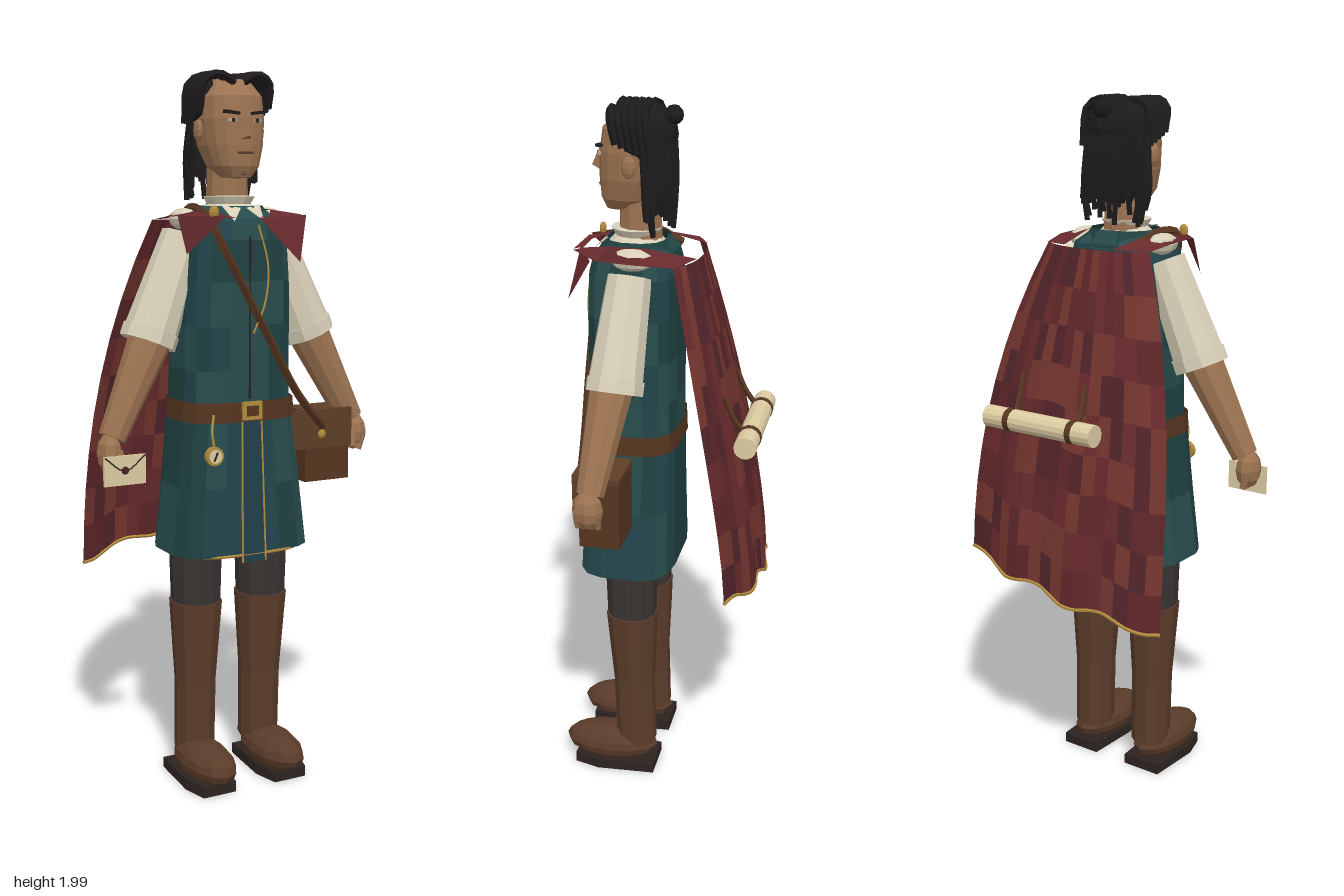
import * as THREE from 'three';

const V = (x, y, z) => new THREE.Vector3(x, y, z);
const SKIN = 0x9c7351, HAIR = 0x1c1a1a, CREAM = 0xd8cfb8, PAPER = 0xddcca2, GOLD = 0xb08a3c, LEATHER = 0x553520, BOOT = 0x5a3c2a, DARK = 0x2c2320;
const REDS = [0x682a2d, 0x5e2629, 0x74352f, 0x51242a], GREENS = [0x22444a, 0x1f4040, 0x284c4c];

let seed = 7;
const rand = () => (seed = (seed * 16807) % 2147483647) / 2147483647;

export function createModel() {
  const root = new THREE.Group();
  const mats = {};
  const mat = (color) => mats[color] ??= new THREE.MeshStandardMaterial({ color, flatShading: true, side: THREE.DoubleSide });
  const add = (name, geo, color, parent = root) => {
    const m = new THREE.Mesh(geo, mat(color));
    m.name = name;
    parent.add(m);
    return m;
  };
  const box = (name, c, s, color) => {
    const m = add(name, new THREE.BoxGeometry(...s), color);
    m.position.set(...c);
    return m;
  };
  const ball = (name, c, s, color, w = 10, h = 7) => {
    const m = add(name, new THREE.SphereGeometry(1, w, h), color);
    m.position.set(...c);
    m.scale.set(...s);
    return m;
  };
  // Tapered cylinder between two points
  const limb = (name, a, b, ra, rb, color, n = 10) => {
    const m = add(name, new THREE.CylinderGeometry(rb, ra, a.distanceTo(b), n), color);
    m.position.lerpVectors(a, b, 0.5);
    m.quaternion.setFromUnitVectors(V(0, 1, 0), b.clone().sub(a).normalize());
    return m;
  };
  const tube = (name, pts, r, color, segs = 12, n = 5) =>
    add(name, new THREE.TubeGeometry(new THREE.CatmullRomCurve3(pts), segs, r, n), color);
  // Flat polygon drawn as a fan
  const poly = (name, pts, color) => {
    const out = [];
    for (let i = 1; i < pts.length - 1; i++) out.push(pts[0], pts[i], pts[i + 1]);
    const g = new THREE.BufferGeometry().setFromPoints(out);
    g.computeVertexNormals();
    return add(name, g, color);
  };
  // Grid surface whose quads are shared out between colours
  const patches = (name, fn, nu, nv, colors) => {
    const group = new THREE.Group(), sets = colors.map(() => []);
    group.name = name;
    for (let j = 0; j < nv; j++) for (let i = 0; i < nu; i++) {
      const a = fn(i, j), b = fn(i + 1, j), c = fn(i + 1, j + 1), d = fn(i, j + 1);
      sets[Math.floor(rand() * colors.length)].push(a, b, c, a, c, d);
    }
    sets.forEach((pts, k) => {
      if (!pts.length) return;
      const g = new THREE.BufferGeometry().setFromPoints(pts);
      g.computeVertexNormals();
      add(name + 'Patch', g, colors[k], group);
    });
    root.add(group);
  };
  // Stacked rounded rings [y, centreX, centreZ, halfWidth, halfDepth], bottom to top
  const loft = (name, rings, colors, n = 12, p = 0.8) => patches(name, (i, j) => {
    const [y, cx, cz, w, d] = rings[j], t = ((i % n) + 0.5) / n * Math.PI * 2;
    const s = Math.sin(t), c = Math.cos(t);
    return V(cx + w * Math.sign(s) * Math.abs(s) ** p, y, cz + d * Math.sign(c) * Math.abs(c) ** p);
  }, n, rings.length - 1, colors);

  // Sole outline with clipped toe corners
  const sole = new THREE.Shape([[-0.06, -0.01], [0.06, -0.01], [0.07, -0.18], [0.05, -0.255], [-0.05, -0.255], [-0.07, -0.18]].map((p) => new THREE.Vector2(...p)));
  const soleGeo = new THREE.ExtrudeGeometry(sole, { depth: 0.03, bevelEnabled: false }).rotateX(-Math.PI / 2);

  // Legs, boots and arms
  for (const s of [-1, 1]) {
    const x = s * 0.105;
    loft('trouserLeg', [[0.5, x, 0.085, 0.068, 0.07], [0.72, x, 0.085, 0.074, 0.076], [0.95, s * 0.09, 0.085, 0.08, 0.085]], [0x383432], 10, 0.9);
    loft('bootShaft', [[0.09, x, 0.075, 0.056, 0.06], [0.3, x, 0.08, 0.058, 0.06], [0.45, x, 0.083, 0.068, 0.07], [0.535, x, 0.085, 0.074, 0.075], [0.535, x, 0.085, 0.05, 0.05]], [BOOT], 10, 0.9);
    ball('bootFoot', [s * 0.11, 0.075, 0.152], [0.072, 0.055, 0.143], BOOT, 12, 8);
    add('bootSole', soleGeo, DARK).position.set(s * 0.114, 0.01, 0);

    const shoulder = V(s * 0.135, 1.56, 0.075), elbow = V(s * 0.25, 1.28, 0.092), wrist = V(s * 0.375, 1.03, 0.13);
    limb('sleeve', elbow, shoulder, 0.076, 0.06, CREAM);
    ball('shoulderPuff', [s * 0.13, 1.605, 0.07], [0.036, 0.03, 0.06], CREAM, 8, 6);
    limb('sleeveCuff', V(s * 0.252, 1.275, 0.092), V(s * 0.238, 1.31, 0.09), 0.079, 0.079, CREAM);
    limb('forearm', wrist, V(s * 0.245, 1.29, 0.1), 0.038, 0.06, SKIN);
    ball('hand', [s * 0.386, 0.99, 0.135], [0.034, 0.055, 0.043], SKIN, 8, 6);
    for (let f = 0; f < 4; f++)
      limb('finger', V(s * 0.385, 0.94, 0.108 + f * 0.018), V(s * 0.4, 0.985, 0.108 + f * 0.018), 0.01, 0.011, SKIN, 6);
    limb('thumb', V(s * 0.362, 0.95, 0.17), V(s * 0.37, 1.0, 0.16), 0.01, 0.013, SKIN, 6);
  }

  // Vest, skirt and belt
  loft('vest', [[1.08, 0, 0.085, 0.163, 0.125], [1.2, 0, 0.085, 0.16, 0.124], [1.32, 0, 0.085, 0.16, 0.125], [1.44, 0, 0.085, 0.158, 0.125],
    [1.55, 0, 0.085, 0.15, 0.122], [1.6, 0, 0.085, 0.135, 0.11], [1.635, 0, 0.08, 0.085, 0.075]], GREENS, 16, 0.6);
  loft('skirt', [[0.69, 0, 0.097, 0.21, 0.138], [0.88, 0, 0.093, 0.188, 0.132], [1.1, 0, 0.088, 0.165, 0.126]], GREENS, 16, 0.55);
  const hem = [];
  for (let i = 0; i <= 16; i++) {
    const t = (i / 16 - 0.5) * 2;
    hem.push(V(t * 0.19, 0.69, 0.236 - 0.07 * Math.abs(t) ** 4));
  }
  tube('skirtHem', hem, 0.004, GOLD, 24);
  loft('belt', [[1.06, 0, 0.088, 0.174, 0.134], [1.115, 0, 0.088, 0.17, 0.132]], [LEATHER], 16, 0.6);
  poly('skirtFrontPanel', [V(-0.035, 0.67, 0.24), V(0.035, 0.67, 0.24), V(0.028, 1.06, 0.222), V(-0.028, 1.06, 0.222)], 0x213f4a);
  for (const s of [-1, 1]) tube('panelTrim', [V(s * 0.036, 0.67, 0.241), V(s * 0.03, 1.06, 0.223)], 0.003, GOLD, 2);
  box('buckleFrame', [0, 1.09, 0.222], [0.06, 0.05, 0.01], GOLD);
  box('buckleCentre', [0, 1.09, 0.225], [0.035, 0.028, 0.01], LEATHER);
  tube('vestSeam', [V(0, 1.12, 0.21), V(0, 1.56, 0.209)], 0.003, DARK, 4);
  tube('vestTrim', [V(0.03, 1.59, 0.2), V(0.055, 1.48, 0.21), V(0.045, 1.38, 0.212), V(0.01, 1.3, 0.212)], 0.003, GOLD);

  // Collars and neck
  loft('coatCollar', [[1.59, 0, 0.085, 0.13, 0.115], [1.64, 0, 0.08, 0.095, 0.085]], GREENS, 12, 0.8);
  loft('neckRuffle', [[1.62, 0, 0.085, 0.085, 0.085], [1.645, 0, 0.085, 0.06, 0.06], [1.665, 0, 0.085, 0.072, 0.07], [1.668, 0, 0.085, 0.04, 0.04]], [CREAM], 14, 1);
  for (const s of [-1, 1]) poly('collarPoint', [V(s * 0.008, 1.635, 0.17), V(s * 0.06, 1.645, 0.15), V(s * 0.045, 1.6, 0.205)], CREAM);
  limb('neck', V(0, 1.62, 0.075), V(0, 1.78, 0.075), 0.06, 0.055, SKIN);

  // Head and face
  loft('head', [[1.713, 0, 0.125, 0.005, 0.005], [1.716, 0, 0.122, 0.04, 0.045], [1.745, 0, 0.107, 0.066, 0.072], [1.8, 0, 0.09, 0.082, 0.093],
    [1.87, 0, 0.082, 0.089, 0.099], [1.93, 0, 0.078, 0.085, 0.094], [1.975, 0, 0.07, 0.055, 0.06]], [SKIN], 16, 0.8);
  poly('noseBridge', [V(0, 1.88, 0.183), V(-0.018, 1.815, 0.178), V(0, 1.825, 0.208)], SKIN);
  poly('noseSide', [V(0, 1.88, 0.183), V(0, 1.825, 0.208), V(0.018, 1.815, 0.178)], SKIN);
  poly('noseBase', [V(-0.018, 1.815, 0.178), V(0.018, 1.815, 0.178), V(0, 1.825, 0.208)], SKIN);
  box('mouth', [0, 1.78, 0.177], [0.045, 0.006, 0.012], 0x5a3a2e);
  ball('chin', [0, 1.733, 0.155], [0.03, 0.018, 0.02], 0x85644c, 8, 6);
  for (const s of [-1, 1]) {
    box('eye', [s * 0.036, 1.865, 0.172], [0.026, 0.01, 0.014], 0xb8a890);
    box('pupil', [s * 0.036, 1.865, 0.175], [0.01, 0.01, 0.014], DARK);
    box('eyebrow', [s * 0.038, 1.885, 0.172], [0.042, 0.008, 0.02], HAIR).rotation.z = s * 0.12;
    ball('ear', [s * 0.093, 1.84, 0.085], [0.012, 0.03, 0.02], SKIN, 8, 6);
  }

  // Hair: cap, bun, parted fringe and hanging strands
  ball('hairCap', [0, 1.91, 0.06], [0.104, 0.085, 0.086], HAIR, 14, 10);
  ball('hairBun', [0.008, 1.965, -0.018], [0.028, 0.026, 0.026], HAIR, 8, 6);
  for (const s of [-1, 1]) for (let k = 0; k < 6; k++) {
    const z = 0.15 - k * 0.018;
    tube('fringeLock', [V(s * 0.012, 1.965 + k * 0.003, z - 0.012), V(s * 0.06, 1.986, z - 0.014), V(s * 0.1, 1.965, z - 0.02), V(s * 0.104, 1.9 - k * 0.008, z - 0.035)], 0.012, HAIR, 8);
  }
  for (let i = 0; i < 33; i++) {
    const t = (i / 32 - 0.5) * Math.PI, sx = Math.sin(t), cz = Math.cos(t);
    const end = 1.655 + rand() * 0.08, spread = 0.085 + rand() * 0.03;
    tube('hairStrand', [V(sx * 0.09, 1.93, 0.055 - cz * 0.07), V(sx * 0.1, 1.84, 0.045 - cz * 0.065), V(sx * 0.107, 1.75, 0.04 - cz * 0.058), V(sx * spread, end, 0.035 - cz * 0.046)], 0.0075, HAIR, 7);
  }

  // Cape of patched cloth with a wavy hem
  const NU = 16, NV = 9;
  const capeAt = (i, j) => {
    const u = i / NU * 2 - 1, v = j / NV, ease = 1 - (1 - v) ** 2.6;
    const bottom = 0.655 + 0.055 * u + 0.012 * Math.sin(u * 9);
    return V(u * (0.17 + 0.156 * ease), 1.6 - v * (1.6 - bottom),
      -0.1 - 0.182 * (1 - (1 - v) ** 1.4) + (0.05 + 0.012 * v) * Math.abs(u) ** 2.5 + 0.006 * v * Math.sin(u * 11));
  };
  patches('cape', (i, j) => capeAt(NU - i, NV - j), NU, NV, REDS);
  tube('capeHem', Array.from({ length: NU + 1 }, (_, i) => capeAt(i, NV)), 0.005, GOLD, 36);
  for (const s of [-1, 1]) {
    const out = s < 0 ? 0.175 : 0.198;
    poly('capeShoulder', [V(s * 0.08, 1.605, -0.095), V(s * 0.17, 1.6, -0.055), V(s * out, 1.61, 0.04), V(s * 0.1, 1.63, 0.04)], REDS[0]);
    poly('capeShoulder', [V(s * 0.1, 1.63, 0.04), V(s * out, 1.61, 0.04), V(s * out, 1.615, 0.15), V(s * 0.1, 1.63, 0.14)], REDS[1]);
    poly('capeFront', [V(s * 0.1, 1.63, 0.14), V(s * out, 1.615, 0.15), V(s * 0.08, 1.61, 0.243), V(s * 0.05, 1.61, 0.222)], REDS[0]);
  }
  poly('capeFrontBand', [V(-0.085, 1.612, 0.242), V(0.075, 1.612, 0.244), V(0.05, 1.612, 0.222), V(-0.05, 1.612, 0.222)], REDS[0]);
  poly('capeFlapLeft', [V(0.01, 1.61, 0.24), V(0.135, 1.49, 0.245), V(0.2, 1.615, 0.165)], REDS[0]);
  poly('capeFlapRight', [V(-0.185, 1.615, 0.145), V(-0.18, 1.515, 0.19), V(-0.09, 1.615, 0.24)], REDS[1]);
  ball('brooch', [-0.11, 1.625, 0.21], [0.015, 0.018, 0.01], GOLD, 8, 6);

  // Parchment roll strapped on the cape
  limb('parchmentRoll', V(-0.14, 1.135, -0.257), V(0.225, 1.135, -0.257), 0.031, 0.031, PAPER, 14);
  for (const x of [-0.07, 0.145]) {
    limb('rollStrap', V(x - 0.009, 1.135, -0.257), V(x + 0.009, 1.135, -0.257), 0.033, 0.033, LEATHER, 14);
    tube('rollHanger', [V(x, 1.15, -0.24), V(x + 0.005, 1.19, -0.213), V(x + 0.012, 1.25, -0.188)], 0.008, LEATHER, 6);
  }

  // Satchel and its cross strap
  box('satchelBody', [0.275, 0.955, 0.115], [0.145, 0.19, 0.112], LEATHER);
  box('satchelFlap', [0.243, 1.015, 0.181], [0.205, 0.11, 0.014], 0x5f3e28);
  box('satchelLid', [0.275, 1.058, 0.118], [0.15, 0.016, 0.122], 0x5f3e28);
  ball('satchelClasp', [0.245, 1.0, 0.19], [0.013, 0.013, 0.007], GOLD, 8, 6);
  tube('shoulderStrap', [V(0.25, 1.02, 0.19), V(0.16, 1.12, 0.2), V(0.05, 1.3, 0.21), V(-0.08, 1.53, 0.21), V(-0.115, 1.62, 0.17),
    V(-0.11, 1.635, 0.07), V(-0.1, 1.6, -0.02)], 0.012, LEATHER, 30, 4);

  // Envelope in the right hand
  box('envelope', [-0.36, 0.95, 0.177], [0.12, 0.08, 0.008], PAPER);
  tube('envelopeFold', [V(-0.418, 0.988, 0.182), V(-0.36, 0.948, 0.182), V(-0.302, 0.988, 0.182)], 0.002, DARK, 8, 4);
  ball('waxSeal', [-0.36, 0.95, 0.182], [0.011, 0.011, 0.005], 0x4a2222, 8, 6);

  // Pocket dial hanging from the belt
  limb('dialCase', V(-0.12, 0.975, 0.222), V(-0.12, 0.975, 0.238), 0.026, 0.026, GOLD, 14);
  limb('dialFace', V(-0.12, 0.975, 0.236), V(-0.12, 0.975, 0.241), 0.019, 0.019, PAPER, 14);
  box('dialNeedle', [-0.12, 0.975, 0.242], [0.005, 0.026, 0.003], DARK).rotation.z = -0.4;
  tube('dialChain', [V(-0.12, 1.0, 0.23), V(-0.125, 1.04, 0.228), V(-0.115, 1.085, 0.218)], 0.004, GOLD, 6);

  return root;
}
